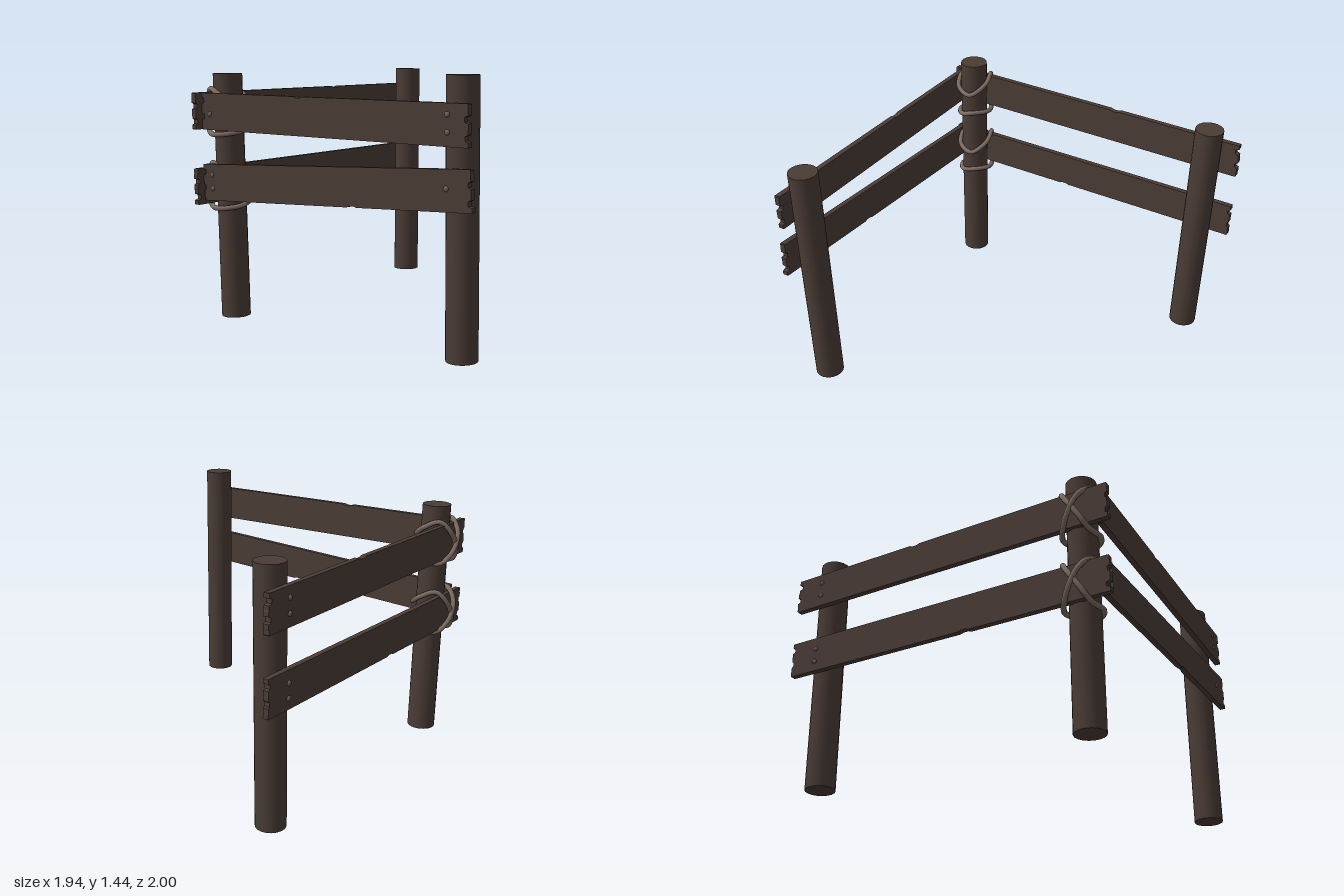
import * as THREE from 'three';

const wood = new THREE.MeshStandardMaterial({ color: 0x4a3c35 });
wood.name = 'dark wood';
const rope = new THREE.MeshStandardMaterial({ color: 0x7d6d62 });
rope.name = 'rope';
const iron = new THREE.MeshStandardMaterial({ color: 0x6a625d });
iron.name = 'nail iron';

const T = 0.032; // plank thickness

function mesh(name, geometry, material) {
  const m = new THREE.Mesh(geometry, material);
  m.name = name;
  return m;
}

// Slightly leaning round post between two centre points
function post(name, bottom, top) {
  const a = new THREE.Vector3(...bottom), b = new THREE.Vector3(...top);
  const dir = b.clone().sub(a);
  const m = mesh(name, new THREE.CylinderGeometry(0.083, 0.083, dir.length(), 18), wood);
  m.position.copy(a).add(b).multiplyScalar(0.5);
  m.quaternion.setFromUnitVectors(new THREE.Vector3(0, 1, 0), dir.normalize());
  return m;
}

// Board with splintered ends and one small chip in a long edge
function plank(name, { length, chipX, chipTop, seed, nails, position, yaw, tilt }) {
  let s = seed;
  const random = () => (s = (s * 16807) % 2147483647) / 2147483647;
  const L = length / 2, H = 0.104, steps = 7;
  const shape = new THREE.Shape();
  const chip = (side) => {
    const y = side * H;
    for (const [dx, dy] of [[-0.035, 0], [-0.015, 0.007], [0.015, 0.007], [0.03, 0]]) {
      shape.lineTo(chipX - side * dx, y - side * dy);
    }
  };
  const raggedEnd = (side) => {
    for (let i = 0; i < steps; i++) {
      const x = side * (L - (i % 3 === 1 ? 0.012 + random() * 0.012 : random() * 0.004));
      shape.lineTo(x, side * H * (-1 + (2 * i + 0.15) / steps));
      shape.lineTo(x, side * H * (-1 + (2 * i + 1.7) / steps));
    }
  };
  shape.moveTo(-L + 0.006, -H);
  if (!chipTop) chip(-1);
  shape.lineTo(L - 0.006, -H);
  raggedEnd(1);
  shape.lineTo(L - 0.006, H);
  if (chipTop) chip(1);
  shape.lineTo(-L + 0.006, H);
  raggedEnd(-1);

  const group = new THREE.Group();
  group.name = name;
  const board = new THREE.ExtrudeGeometry(shape, { depth: T, bevelEnabled: false });
  board.translate(0, 0, -T / 2);
  group.add(mesh('board', board, wood));

  // Domed nail heads on the outer face
  for (const [x, y] of nails) {
    const nail = mesh('nail', new THREE.SphereGeometry(0.015, 10, 5, 0, Math.PI * 2, 0, Math.PI / 2), iron);
    nail.rotation.x = Math.PI / 2;
    nail.scale.y = 0.7;
    nail.position.set(x, y, T / 2);
    group.add(nail);
  }
  group.position.set(...position);
  group.rotation.set(0, yaw, tilt);
  return group;
}

// Closed lashing that crosses over the side plank and wraps the corner post
function lashing(name, y) {
  const points = [
    [-0.885, 0.127, 0.885], [-0.95, 0.06, 0.845], [-0.955, -0.05, 0.785], [-0.9, -0.122, 0.735],
    [-0.81, -0.11, 0.712], [-0.725, -0.1, 0.765], [-0.712, -0.115, 0.84], [-0.8, -0.13, 0.907],
    [-0.9, -0.122, 0.885], [-0.945, -0.05, 0.845], [-0.945, 0.06, 0.775], [-0.89, 0.127, 0.73],
    [-0.8, 0.09, 0.712], [-0.715, 0.03, 0.78], [-0.735, 0.06, 0.875], [-0.815, 0.11, 0.907],
  ].map(([px, py, pz]) => new THREE.Vector3(px, y + py, pz));
  const curve = new THREE.CatmullRomCurve3(points, true);
  return mesh(name, new THREE.TubeGeometry(curve, 96, 0.015, 8, true), rope);
}

export function createModel() {
  const model = new THREE.Group();
  model.name = 'cornerFence';

  model.add(
    post('cornerPost', [-0.8, 0.003, 0.812], [-0.822, 1.418, 0.812]),
    post('frontPost', [0.825, 0.03, 0.812], [0.825, 1.44, 0.812]),
    post('backPost', [-0.802, 0.003, -0.808], [-0.802, 1.415, -0.834]),
  );

  // Front run
  model.add(
    plank('upperFrontPlank', {
      length: 1.82, chipX: -0.17, chipTop: true, seed: 11,
      nails: [[-0.845, -0.015], [0.79, 0.05], [0.79, -0.035]],
      position: [0.03, 1.206, 0.93], yaw: 0.014, tilt: 0,
    }),
    plank('lowerFrontPlank', {
      length: 1.842, chipX: 0.18, chipTop: false, seed: 29,
      nails: [[-0.85, 0.043], [-0.85, -0.034], [0.776, 0.01]],
      position: [0.04, 0.85, 0.93], yaw: 0.014, tilt: 0.055,
    }),
  );

  // Side run, outer face towards -x
  model.add(
    plank('upperSidePlank', {
      length: 2, chipX: -0.18, chipTop: true, seed: 47,
      nails: [[-0.83, 0.045], [-0.83, -0.035]],
      position: [-0.902, 1.207, 0], yaw: -Math.PI / 2, tilt: 0,
    }),
    plank('lowerSidePlank', {
      length: 2, chipX: 0.16, chipTop: false, seed: 83,
      nails: [[-0.83, 0.035], [-0.83, -0.045]],
      position: [-0.902, 0.781, 0], yaw: -Math.PI / 2, tilt: -0.006,
    }),
  );

  model.add(lashing('upperRope', 1.203), lashing('lowerRope', 0.778));
  return model;
}
